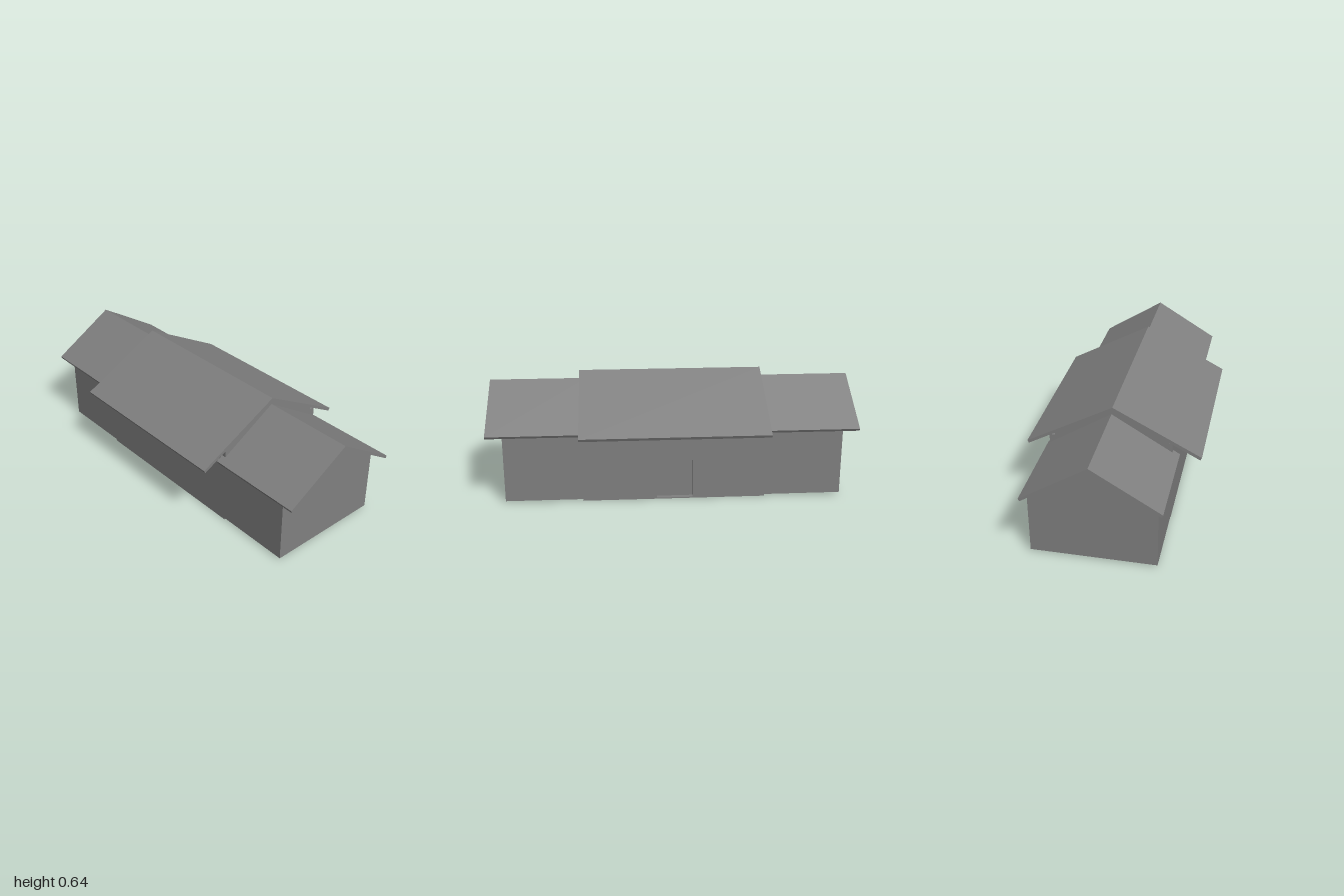
import * as THREE from 'three';

const grey = new THREE.MeshStandardMaterial({ color: 0x808080 });
grey.name = 'plain grey';

// Extrudes a [z, y] outline along x, from x0 to x1
function alongX(name, outline, x0, x1) {
  const shape = new THREE.Shape(outline.map(([z, y]) => new THREE.Vector2(z, y)));
  const geometry = new THREE.ExtrudeGeometry(shape, { depth: x1 - x0, bevelEnabled: false });
  geometry.rotateY(-Math.PI / 2).translate(x1, 0, 0);
  const mesh = new THREE.Mesh(geometry, grey);
  mesh.name = name;
  return mesh;
}

export function createModel() {
  const house = new THREE.Group();
  house.name = 'longHouse';

  // Middle hall, its back wall left off for the doorway
  house.add(alongX('middleHall', [
    [-0.31, 0], [0.31, 0], [0.31, 0.453], [0, 0.624], [-0.31, 0.456],
  ], -0.495, 0.495));

  // Back wall with the door opening
  const wall = new THREE.Shape([
    [-0.495, 0], [0.495, 0], [0.495, 0.441], [-0.495, 0.441],
  ].map(([x, y]) => new THREE.Vector2(x, y)));
  wall.holes.push(new THREE.Path([
    [-0.1, 0.006], [-0.1, 0.222], [0.095, 0.222], [0.095, 0.006],
  ].map(([x, y]) => new THREE.Vector2(x, y))));
  const backWall = new THREE.Mesh(
    new THREE.ExtrudeGeometry(wall, { depth: 0.03, bevelEnabled: false }), grey);
  backWall.position.z = -0.34;
  backWall.name = 'backWall';
  house.add(backWall);

  // Door panel at the back of the opening
  const door = new THREE.Mesh(new THREE.BoxGeometry(0.195, 0.216, 0.004), grey);
  door.position.set(-0.0025, 0.114, -0.311);
  door.name = 'door';
  house.add(door);

  // Large middle roof
  house.add(alongX('middleRoof', [
    [0.455, 0.384], [0.463, 0.4], [0, 0.642], [-0.46, 0.395], [-0.453, 0.38], [0, 0.625],
  ], -0.505, 0.507));

  // Lower wings and their roofs at both ends
  const wing = [[-0.34, 0.01], [0.31, 0.01], [0.31, 0.382], [-0.005, 0.562], [-0.34, 0.38]];
  const wingRoof = [
    [0.34, 0.372], [0.346, 0.386], [-0.007, 0.598],
    [-0.354, 0.382], [-0.347, 0.369], [-0.007, 0.581],
  ];
  for (const [side, s] of [['left', 1], ['right', -1]]) {
    const span = (a, b) => (s > 0 ? [a, b] : [-b, -a]);
    house.add(alongX(side + 'Wing', wing, ...span(0.495, 0.911)));
    house.add(alongX(side + 'WingRoof', wingRoof, ...span(0.47, 1)));
  }
  return house;
}
